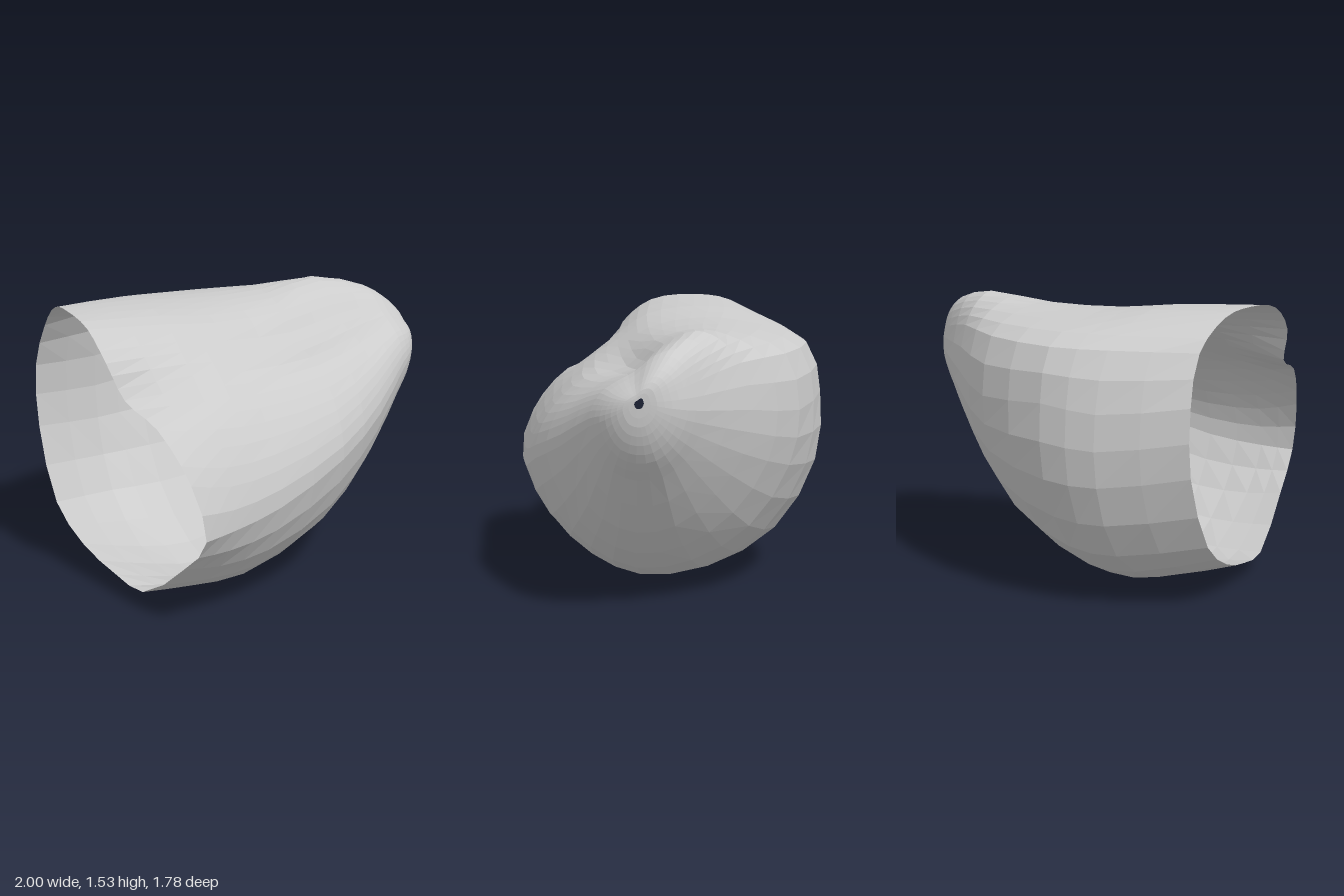
import * as THREE from 'three';

// Cross-section: pairs of (z, y) running top -> front -> bottom -> back at a fixed x
function section(x, zy) {
  const ring = [];
  for (let i = 0; i < zy.length; i += 2) ring.push(new THREE.Vector3(x, zy[i + 1], zy[i]));
  return ring;
}

// Slanted open rim, triples of (x, y, z) in the same order
function rim(xyz) {
  const ring = [];
  for (let i = 0; i < xyz.length; i += 3) ring.push(new THREE.Vector3(xyz[i], xyz[i + 1], xyz[i + 2]));
  return ring;
}

// Section shrunk towards the tip axis
function shrink(ring, x, s) {
  return ring.map(p => new THREE.Vector3(x, 1.22 + (p.y - 1.22) * s, p.z * s));
}

// Faceted surface through the rings, finer over the folded top than below
function loft(rings, steps) {
  const n = rings[0].length;
  const around = [];
  for (let i = 0; i < n; i++) {
    const cuts = i < 5 || i > 13 ? 3 : 2;
    for (let k = 0; k < cuts; k++) around.push((i + k / cuts) / n);
  }
  const smooth = rings.map(r => {
    const loop = new THREE.CatmullRomCurve3(r, true);
    return around.map(u => loop.getPoint(u));
  });
  const m = around.length;
  const rows = (rings.length - 1) * steps;
  const pos = [], index = [];
  const lines = around.map((_, j) => new THREE.CatmullRomCurve3(smooth.map(r => r[j])));
  for (let i = 0; i <= rows; i++) {
    for (const line of lines) pos.push(...line.getPoint(i / rows).toArray());
  }
  for (let i = 0; i < rows; i++) {
    for (let j = 0; j < m; j++) {
      const a = i * m + j, b = i * m + (j + 1) % m;
      index.push(a, b, a + m, b, b + m, a + m);
    }
  }
  const geo = new THREE.BufferGeometry();
  geo.setAttribute('position', new THREE.Float32BufferAttribute(pos, 3));
  geo.setIndex(index);
  geo.computeVertexNormals();
  return geo;
}

export function createModel() {
  const group = new THREE.Group();

  // Open rim with a notch at the upper front
  const mouth = rim([
    -1, 1.53, -0.12, -1, 1.495, 0.14, -0.98, 1.36, 0.31, -0.92, 1.18, 0.39,
    -0.86, 1.09, 0.63, -0.78, 0.85, 0.83, -0.73, 0.57, 0.89, -0.76, 0.36, 0.7,
    -0.83, 0.11, 0.35, -0.87, 0.12, 0.1, -0.93, 0.2, -0.2, -0.97, 0.36, -0.46,
    -0.98, 0.75, -0.65, -0.98, 1.1, -0.66, -0.96, 1.35, -0.55, -0.98, 1.5, -0.34]);
  const wide = section(-0.55, [
    -0.15, 1.51, 0.12, 1.46, 0.28, 1.35, 0.46, 1.21, 0.66, 1.05, 0.81, 0.8, 0.85, 0.58, 0.69, 0.33,
    0.36, 0.09, 0.1, 0.04, -0.27, 0.08, -0.65, 0.29, -0.83, 0.68, -0.84, 1.05, -0.73, 1.35, -0.42, 1.49]);
  const belly = section(-0.25, [
    -0.15, 1.475, 0.08, 1.42, 0.25, 1.31, 0.45, 1.19, 0.62, 1.03, 0.75, 0.81, 0.78, 0.62, 0.65, 0.34,
    0.38, 0.1, 0.1, 0, -0.26, 0.05, -0.64, 0.29, -0.86, 0.69, -0.88, 1.08, -0.8, 1.35, -0.42, 1.47]);
  const middle = section(0.2, [
    -0.18, 1.47, 0, 1.41, 0.15, 1.27, 0.38, 1.2, 0.54, 1.06, 0.63, 0.9, 0.65, 0.76, 0.54, 0.47,
    0.35, 0.27, 0.1, 0.16, -0.2, 0.21, -0.51, 0.41, -0.72, 0.75, -0.77, 1.05, -0.69, 1.35, -0.4, 1.465]);
  const taper = section(0.55, [
    -0.24, 1.51, -0.08, 1.44, 0.06, 1.31, 0.24, 1.24, 0.37, 1.14, 0.44, 1.02, 0.46, 0.9, 0.38, 0.68,
    0.24, 0.52, 0.06, 0.45, -0.14, 0.49, -0.35, 0.66, -0.49, 0.88, -0.53, 1.11, -0.47, 1.35, -0.36, 1.47]);
  const neck = section(0.82, [
    -0.16, 1.45, -0.06, 1.42, 0.04, 1.34, 0.13, 1.29, 0.21, 1.23, 0.26, 1.14, 0.27, 1.06, 0.23, 0.93,
    0.15, 0.83, 0.03, 0.79, -0.1, 0.81, -0.21, 0.9, -0.28, 1.02, -0.31, 1.15, -0.28, 1.3, -0.23, 1.41]);

  // Blunt rounded tip ending in a small hole
  const tip = [[0.91, 0.75], [0.965, 0.52], [0.995, 0.29], [1, 0.08]].map(([x, s]) => shrink(neck, x, s));

  const shell = new THREE.Mesh(
    loft([mouth, wide, belly, middle, taper, neck, ...tip], 2),
    new THREE.MeshStandardMaterial({ color: 0xcccccc, flatShading: true, side: THREE.DoubleSide }));
  shell.name = 'openShell';
  group.add(shell);
  return group;
}
